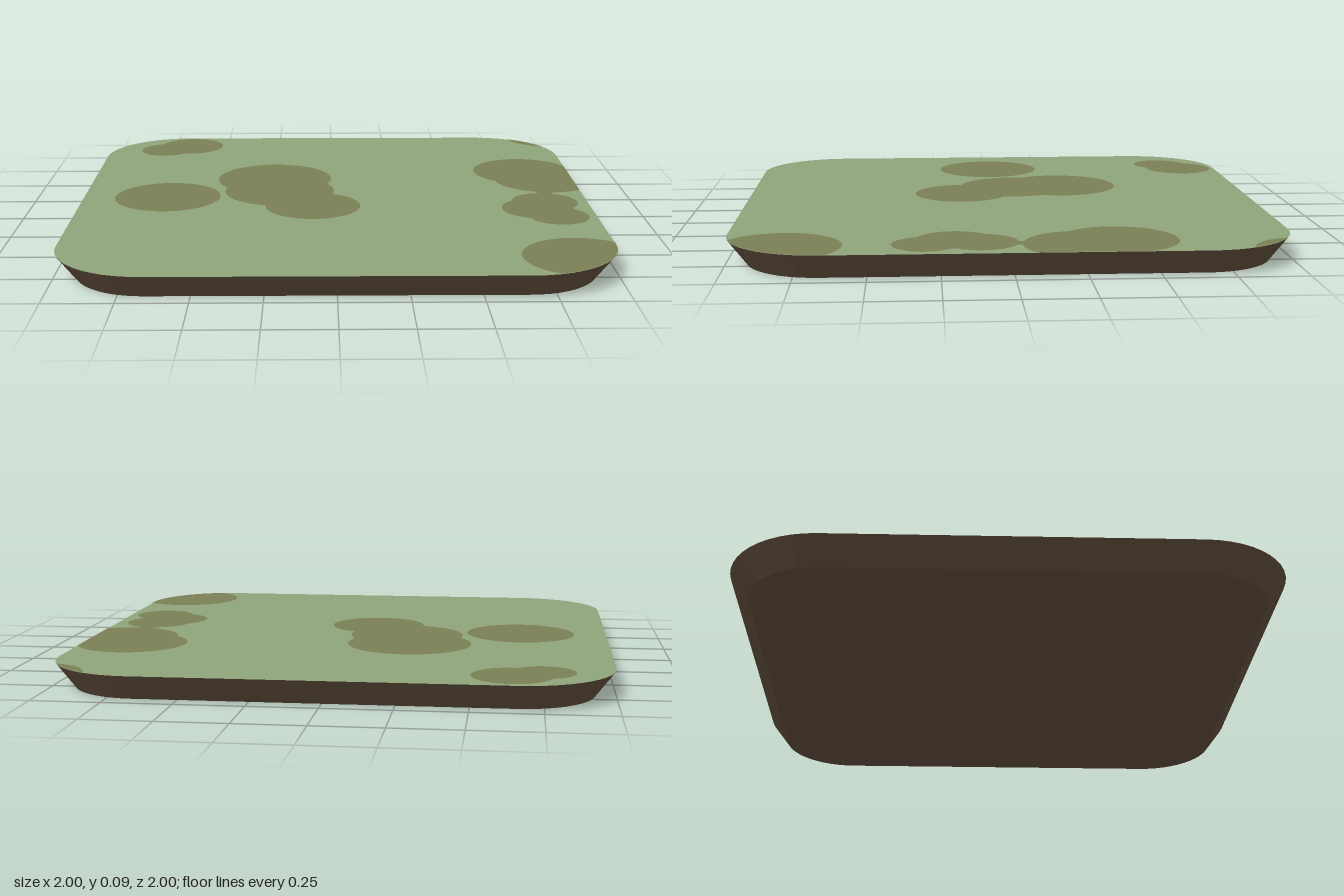
import * as THREE from 'three';
import { mergeGeometries } from 'three/addons/utils/BufferGeometryUtils.js';

const TOP = 0.093;

// Rounded square as plan points (x, -z), counter-clockwise from above
function roundedSquare(half, radius, steps = 12) {
  const points = [];
  for (let corner = 0; corner < 4; corner++) {
    const mid = Math.PI / 4 + corner * Math.PI / 2;
    const cx = Math.sign(Math.cos(mid)) * (half - radius);
    const cy = Math.sign(Math.sin(mid)) * (half - radius);
    for (let i = 0; i <= steps; i++) {
      const a = (corner + i / steps) * Math.PI / 2;
      points.push(new THREE.Vector2(cx + radius * Math.cos(a), cy + radius * Math.sin(a)));
    }
  }
  return points;
}

// Keeps the part of a convex polygon that lies inside a convex outline
function clip(polygon, outline) {
  return outline.reduce((poly, a, i) => {
    const edge = outline[(i + 1) % outline.length].clone().sub(a);
    const side = (p) => edge.cross(p.clone().sub(a));
    const kept = [];
    poly.forEach((p, j) => {
      const q = poly[(j + 1) % poly.length];
      const sp = side(p), sq = side(q);
      if (sp >= 0) kept.push(p);
      if (sp * sq < 0) kept.push(p.clone().lerp(q, sp / (sp - sq)));
    });
    return kept;
  }, polygon);
}

// Flat horizontal face, facing up
function plate(points, y) {
  return new THREE.ShapeGeometry(new THREE.Shape(points)).rotateX(-Math.PI / 2).translate(0, y, 0);
}

export function createModel() {
  const grass = new THREE.MeshStandardMaterial({ name: 'grass green', color: 0x90a57b });
  const moss = new THREE.MeshStandardMaterial({ name: 'olive patch', color: 0x7b8156 });
  const soil = new THREE.MeshStandardMaterial({ name: 'soil brown', color: 0x6b5644, flatShading: true });

  const group = new THREE.Group();
  const add = (name, geometry, material) => {
    const mesh = new THREE.Mesh(geometry, material);
    mesh.name = name;
    group.add(mesh);
  };

  const upper = roundedSquare(1, 0.34);
  const lower = roundedSquare(0.93, 0.27);

  // Sloping soil wall between the two outlines
  const wall = [];
  upper.forEach((t0, i) => {
    const j = (i + 1) % upper.length;
    const t1 = upper[j], b0 = lower[i], b1 = lower[j];
    const at = (p, y) => [p.x, y, -p.y];
    wall.push(...at(b0, 0), ...at(b1, 0), ...at(t1, TOP));
    wall.push(...at(b0, 0), ...at(t1, TOP), ...at(t0, TOP));
  });
  const wallGeometry = new THREE.BufferGeometry();
  wallGeometry.setAttribute('position', new THREE.Float32BufferAttribute(wall, 3));
  wallGeometry.computeVertexNormals();
  add('soilWall', wallGeometry, soil);

  // Underside (the outline is symmetric, so it can simply be flipped over)
  add('underside', plate(lower, 0).rotateX(Math.PI), soil);

  add('grassTop', plate(upper, TOP), grass);

  // Ground patches made of overlapping discs: x, z, radius
  const discs = [
    [-0.64, -0.84, 0.14], [-0.75, -0.77, 0.11],
    [-0.245, -0.26, 0.235], [-0.22, -0.07, 0.22], [-0.085, 0.15, 0.185],
    [-0.665, 0.015, 0.21],
    [0.81, -0.37, 0.21], [0.88, -0.24, 0.21], [0.85, -0.025, 0.03],
    [0.83, 0.11, 0.13], [0.79, 0.2, 0.14], [0.855, 0.305, 0.115],
    [0.86, 0.8, 0.215],
    [1.0, -0.99, 0.18],
  ];
  const patches = discs.map(([x, z, r]) => {
    const circle = [];
    for (let i = 0; i < 48; i++) {
      const a = i / 48 * Math.PI * 2;
      circle.push(new THREE.Vector2(x + r * Math.cos(a), -z + r * Math.sin(a)));
    }
    return plate(clip(circle, upper), TOP + 0.0015);
  });
  add('groundPatches', mergeGeometries(patches), moss);

  return group;
}
